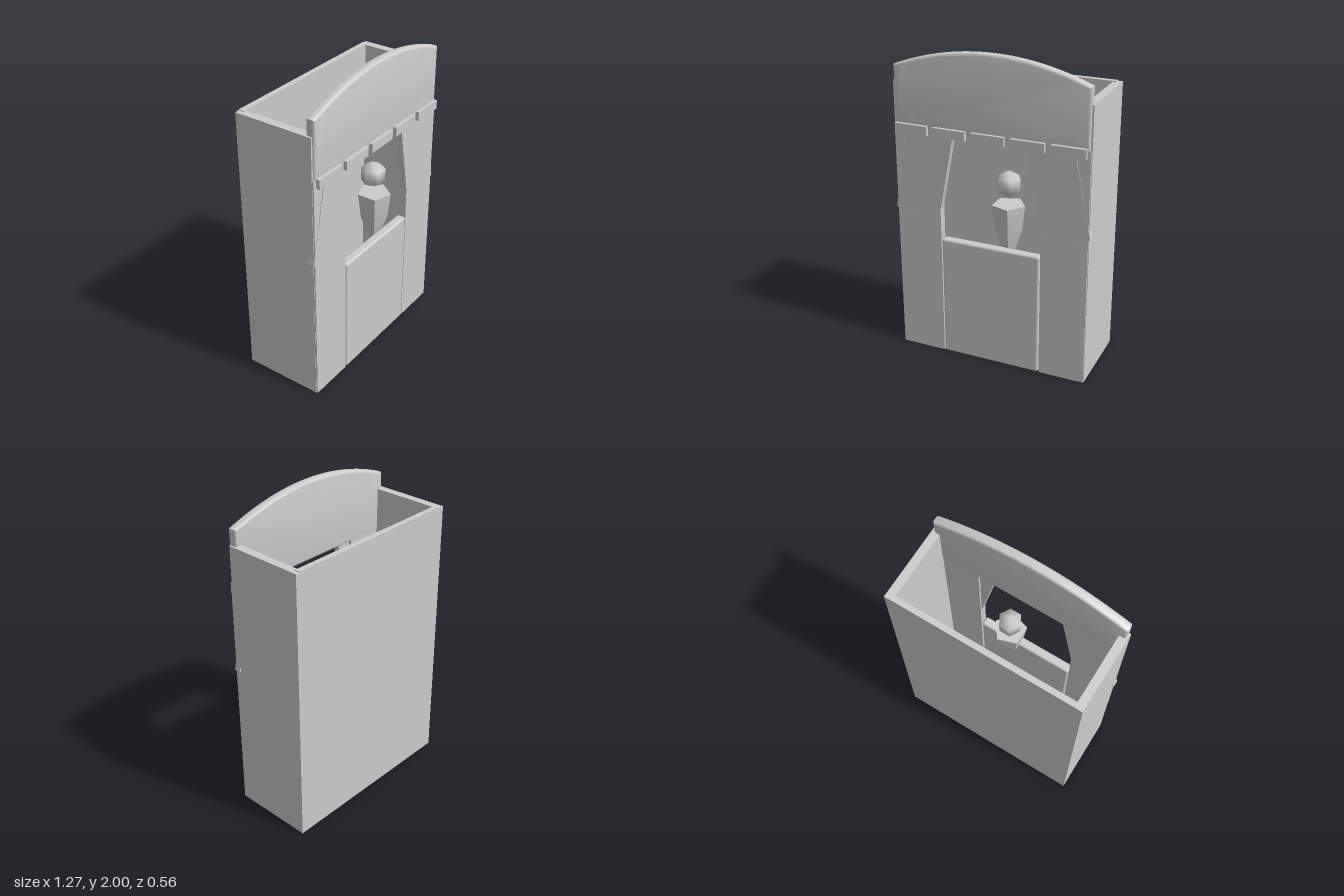
import * as THREE from 'three';
import { RoundedBoxGeometry } from 'three/addons/geometries/RoundedBoxGeometry.js';
import { toCreasedNormals } from 'three/addons/utils/BufferGeometryUtils.js';

export function createModel() {
  const booth = new THREE.Group();
  booth.name = 'puppetBooth';
  const grey = new THREE.MeshStandardMaterial({ color: 0xcccccc });
  grey.name = 'plain grey';

  const add = (name, geometry, x, y, z, parent = booth) => {
    const mesh = new THREE.Mesh(geometry, grey);
    mesh.name = name;
    mesh.position.set(x, y, z);
    parent.add(mesh);
    return mesh;
  };
  const box = (name, w, h, d, x, y, z) => add(name, new THREE.BoxGeometry(w, h, d), x, y, z);

  // Open-topped, open-bottomed box behind the stage front
  box('backWall', 1.2, 1.785, 0.035, 0, 0.8925, -0.2625);
  for (const [side, s] of [['left', 1], ['right', -1]]) {
    box(side + 'Wall', 0.052, 1.78, 0.52, s * 0.602, 0.89, -0.02);
    box(side + 'FrontPanel', 0.295, 1.52, 0.052, s * 0.4775, 0.76, 0.224);

    // Slanted curtain, almost flush with the front panel
    const curtain = box(side + 'Curtain', 0.296, 0.62, 0.042, s * 0.432, 1.245, 0.232);
    curtain.rotation.set(0.01, 0, s * 0.195);
  }

  // Lower front board with softened edges
  add('counterPanel', new RoundedBoxGeometry(0.65, 0.802, 0.06, 3, 0.014), 0, 0.401, 0.226);

  // Arched header board with a rounded rim
  const bevel = 0.016;
  const w = 0.617 - bevel;
  const arch = new THREE.Shape();
  arch.moveTo(-w, 1.5 + bevel);
  arch.lineTo(w, 1.5 + bevel);
  arch.lineTo(w, 1.868);
  arch.quadraticCurveTo(0, 2.1, -w, 1.868);
  arch.closePath();
  const header = new THREE.ExtrudeGeometry(arch, {
    depth: 0.06 - 2 * bevel, bevelSize: bevel, bevelThickness: bevel,
    bevelSegments: 3, curveSegments: 24,
  });
  add('headerBoard', toCreasedNormals(header, 0.6), 0, 0, 0.196 + bevel);

  // Row of valance tabs
  for (let i = 0; i < 5; i++) {
    box('valanceTab', 0.212, 0.058, 0.026, -0.502 + i * 0.25, 1.5, 0.265);
  }

  // Puppet: five-sided tapering body and a faceted floating head
  const puppet = new THREE.Group();
  puppet.name = 'puppet';
  puppet.position.set(0.09, 0, 0.165);
  booth.add(puppet);
  const profile = [[0, 0.77], [0.04, 0.77], [0.052, 0.81], [0.086, 0.91], [0.106, 1.075], [0, 1.075]]
    .map(([r, y]) => new THREE.Vector2(r, y));
  const body = toCreasedNormals(new THREE.LatheGeometry(profile, 5), 0.5);
  add('puppetBody', body, 0, 0, 0, puppet).rotation.y = Math.PI / 2;
  add('puppetHead', new THREE.SphereGeometry(0.086, 6, 3), -0.004, 1.202, -0.009, puppet);

  return booth;
}
